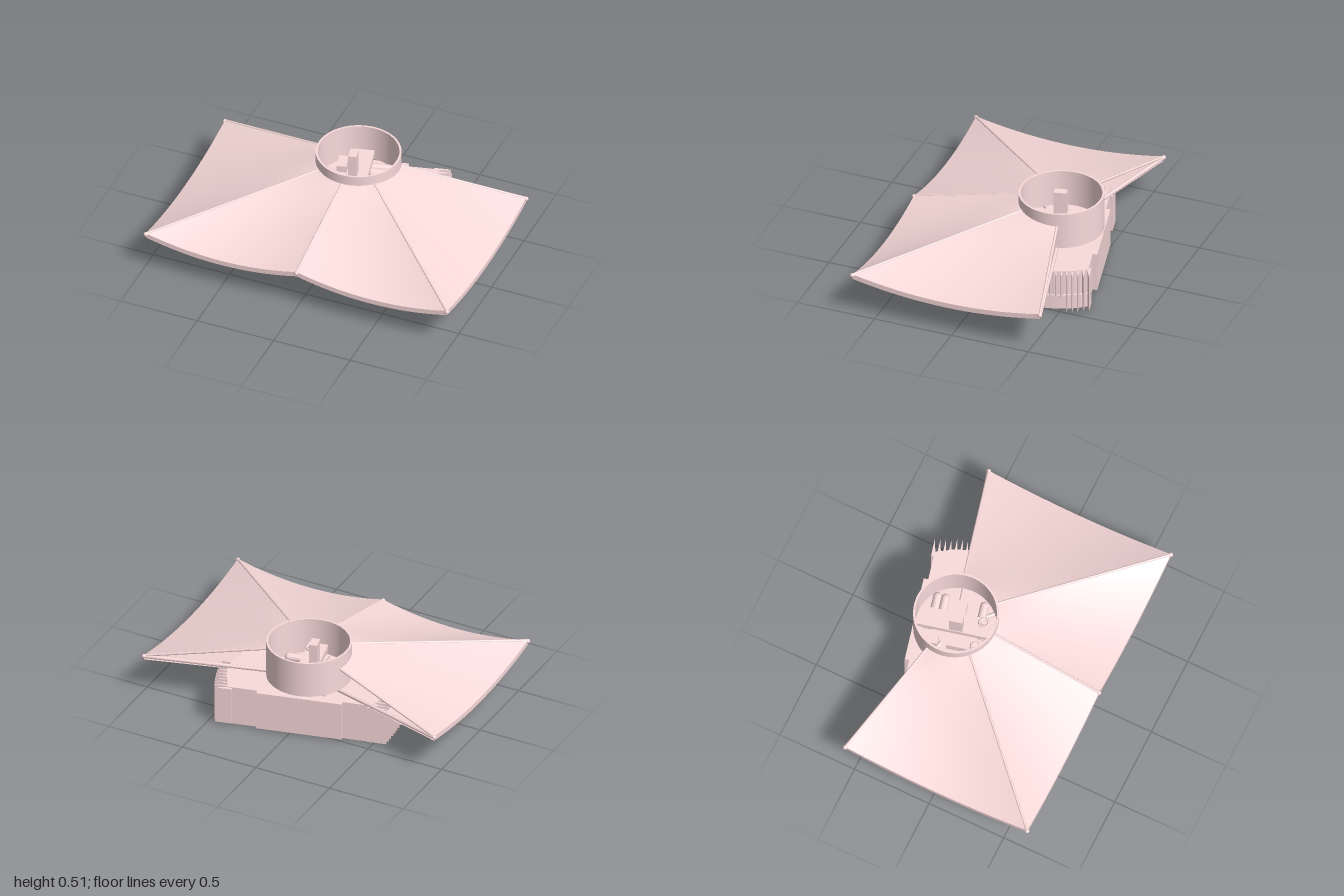
import * as THREE from 'three';

const CZ = -0.308, R = 0.259;
const V = (x, y, z) => new THREE.Vector3(x, y, z);
const mat = new THREE.MeshStandardMaterial({ color: 0xf9dada });
const thin = new THREE.MeshStandardMaterial({ color: 0xf9dada, side: THREE.DoubleSide });

function add(parent, name, geometry, x = 0, y = 0, z = 0, material = mat) {
  const m = new THREE.Mesh(geometry, material);
  m.name = name;
  m.position.set(x, y, z);
  parent.add(m);
  return m;
}

// Round rod between two points
function rod(parent, name, a, b, r) {
  const m = add(parent, name, new THREE.CylinderGeometry(r, r, a.distanceTo(b), 10));
  m.position.copy(a).lerp(b, 0.5);
  m.quaternion.setFromUnitVectors(V(0, 1, 0), b.clone().sub(a).normalize());
}

// Upright prism from a plan outline of [x, z] points
function prism(parent, name, points, y0, y1) {
  const s = new THREE.Shape(points.map(([x, z]) => new THREE.Vector2(x, -z)));
  const g = new THREE.ExtrudeGeometry(s, { depth: y1 - y0, bevelEnabled: false });
  add(parent, name, g.rotateX(-Math.PI / 2), 0, y0, 0);
}

// Grid surface from a rule f(u, v)
function surface(f, nu, nv) {
  const pos = [], idx = [];
  for (let j = 0; j <= nv; j++) for (let i = 0; i <= nu; i++) pos.push(...f(i / nu, j / nv).toArray());
  for (let j = 0; j < nv; j++) for (let i = 0; i < nu; i++) {
    const a = j * (nu + 1) + i, b = a + nu + 1;
    idx.push(a, b, a + 1, a + 1, b, b + 1);
  }
  const g = new THREE.BufferGeometry();
  g.setAttribute('position', new THREE.Float32BufferAttribute(pos, 3));
  g.setIndex(idx);
  g.computeVertexNormals();
  return g;
}

// Point on the collar, angle in degrees from the front
const onCollar = (deg, y, r = R) => {
  const a = THREE.MathUtils.degToRad(deg);
  return V(r * Math.sin(a), y, CZ + r * Math.cos(a));
};

function makeCanopy() {
  const g = new THREE.Group();
  g.name = 'canopy';
  const ribs = [
    { deg: -106, y: 0.43, tip: V(-0.985, 0.272, -0.57) },
    { deg: -45, y: 0.45, tip: V(-0.985, 0.272, 0.65) },
    { deg: 0, y: 0.45, tip: V(0, 0.272, 0.65) },
    { deg: 45, y: 0.45, tip: V(0.985, 0.272, 0.65) },
    { deg: 106, y: 0.43, tip: V(0.985, 0.272, -0.57) },
  ];
  // Level ribs run from the hub to the corners, under seams in the cloth
  for (const { deg, y, tip } of ribs) {
    const end = tip.clone().setY(0.264);
    rod(g, 'rib', onCollar(deg, 0.272, 0.13), end, 0.012);
    add(g, 'ribTip', new THREE.SphereGeometry(0.014, 12, 8), end.x, end.y, end.z);
    rod(g, 'seam', onCollar(deg, y - 0.003), tip.clone().setY(tip.y - 0.003), 0.008);
  }
  // Sloping cloth above, flatter lining below, joined by a hem at the sagging edge
  const { lerp } = THREE.MathUtils;
  for (let k = 0; k < 4; k++) {
    const a = ribs[k], b = ribs[k + 1];
    const edge = (u, drop) => {
      const p = a.tip.clone().lerp(b.tip, u);
      p.y -= 0.062 * 4 * u * (1 - u) + drop;
      return p;
    };
    const cloth = (u, v) => onCollar(lerp(a.deg, b.deg, u), lerp(a.y, b.y, u)).lerp(edge(u, 0), v);
    const lining = (u, v) => onCollar(lerp(a.deg, b.deg, u), 0.255).lerp(edge(u, 0.032), v);
    add(g, 'fabricPanel', surface(cloth, 28, 10), 0, 0, 0, thin);
    add(g, 'fabricLining', surface(lining, 28, 10), 0, 0, 0, thin);
    add(g, 'hem', surface((u, v) => edge(u, 0.032 * v), 28, 1), 0, 0, 0, thin);
  }
  return g;
}

function makeCollar() {
  const g = new THREE.Group();
  g.name = 'collar';
  const r = 0.246, y0 = 0.28, y1 = 0.514;
  const profile = [[r, y0], [R, y0], [R, y0], [R, y1], [R, y1], [r, y1], [r, y1], [r, y0]];
  add(g, 'collarWall', new THREE.LatheGeometry(profile.map((p) => new THREE.Vector2(...p)), 64), 0, 0, CZ, thin);
  return g;
}

function makeBody() {
  const g = new THREE.Group();
  g.name = 'body';
  g.position.z = CZ;
  g.rotation.y = 0.237;

  // Round base cut straight at the back
  const cutDisc = (r, w) => {
    const end = Math.acos(w / r), pts = [];
    for (let i = 0; i <= 48; i++) {
      const a = -end + (2 * end * i) / 48;
      pts.push([r * Math.sin(a), r * Math.cos(a)]);
    }
    return pts;
  };
  prism(g, 'basePlate', cutDisc(0.5, -0.225), 0, 0.012);
  prism(g, 'baseDisc', cutDisc(0.512, -0.23), 0.01, 0.1);

  // Upper housing, narrowing toward the front
  const half = [[0.24, 0.355], [0.25, 0.31], [0.4, 0.285], [0.46, 0.15], [0.495, 0.05], [0.5, -0.03], [0.485, -0.12], [0.444, -0.23]];
  const outline = [...half, ...half.map(([x, z]) => [-x, z]).reverse()];
  prism(g, 'housing', outline, 0.1, 0.26);
  add(g, 'backPanel', new THREE.BoxGeometry(0.53, 0.25, 0.1), 0, 0.135, -0.208);

  // Sharp cooling fins, a longer row on the right flank
  for (const [side, count] of [[1, 10], [-1, 14]]) {
    for (let i = 0; i < count; i++) {
      const w = -0.235 + i * 0.033;
      const low = side < 0 || w < -0.07 ? 0.012 : 0.1;
      const tip = (side < 0 ? 0.535 : 0.515) + 0.045 * Math.sin(((i + 1) / count) * Math.PI * 0.65);
      const pts = [[0.42, w - 0.012], [tip, w - 0.012], [0.42, w + 0.016]];
      prism(g, 'coolingFin', pts.map(([x, z]) => [side * x, z]), low, 0.255);
    }
  }

  // Fittings on top of the housing, inside the collar
  add(g, 'bridge', new THREE.BoxGeometry(0.12, 0.04, 0.46), 0, 0.335, 0);
  add(g, 'post', new THREE.BoxGeometry(0.05, 0.15, 0.08), -0.03, 0.43, 0.01);
  for (const z of [-0.17, 0.17]) add(g, 'bridgeLeg', new THREE.BoxGeometry(0.09, 0.06, 0.06), 0, 0.29, z);
  for (const z of [-0.15, -0.1, 0.14]) {
    const c = add(g, 'canister', new THREE.CapsuleGeometry(0.026, 0.1, 6, 14), 0.11, 0.29, z);
    c.rotation.z = Math.PI / 2;
  }
  for (const [x, y, z] of [[-0.105, 0.285, 0.145], [0.03, 0.36, 0.165]]) {
    add(g, 'screwRing', new THREE.TorusGeometry(0.027, 0.008, 8, 24).rotateX(Math.PI / 2), x, y, z);
    add(g, 'screwPost', new THREE.CylinderGeometry(0.018, 0.018, 0.05, 16), x, y - 0.015, z);
  }
  for (const [x, z, w, d] of [[-0.12, -0.14, 0.06, 0.11], [-0.11, 0.04, 0.07, 0.14], [0.11, -0.01, 0.08, 0.1]]) {
    add(g, 'controlBlock', new THREE.BoxGeometry(w, 0.06, d), x, 0.29, z);
  }
  return g;
}

export function createModel() {
  const model = new THREE.Group();
  model.name = 'canopyUnit';
  model.add(makeCanopy(), makeCollar(), makeBody());
  return model;
}
